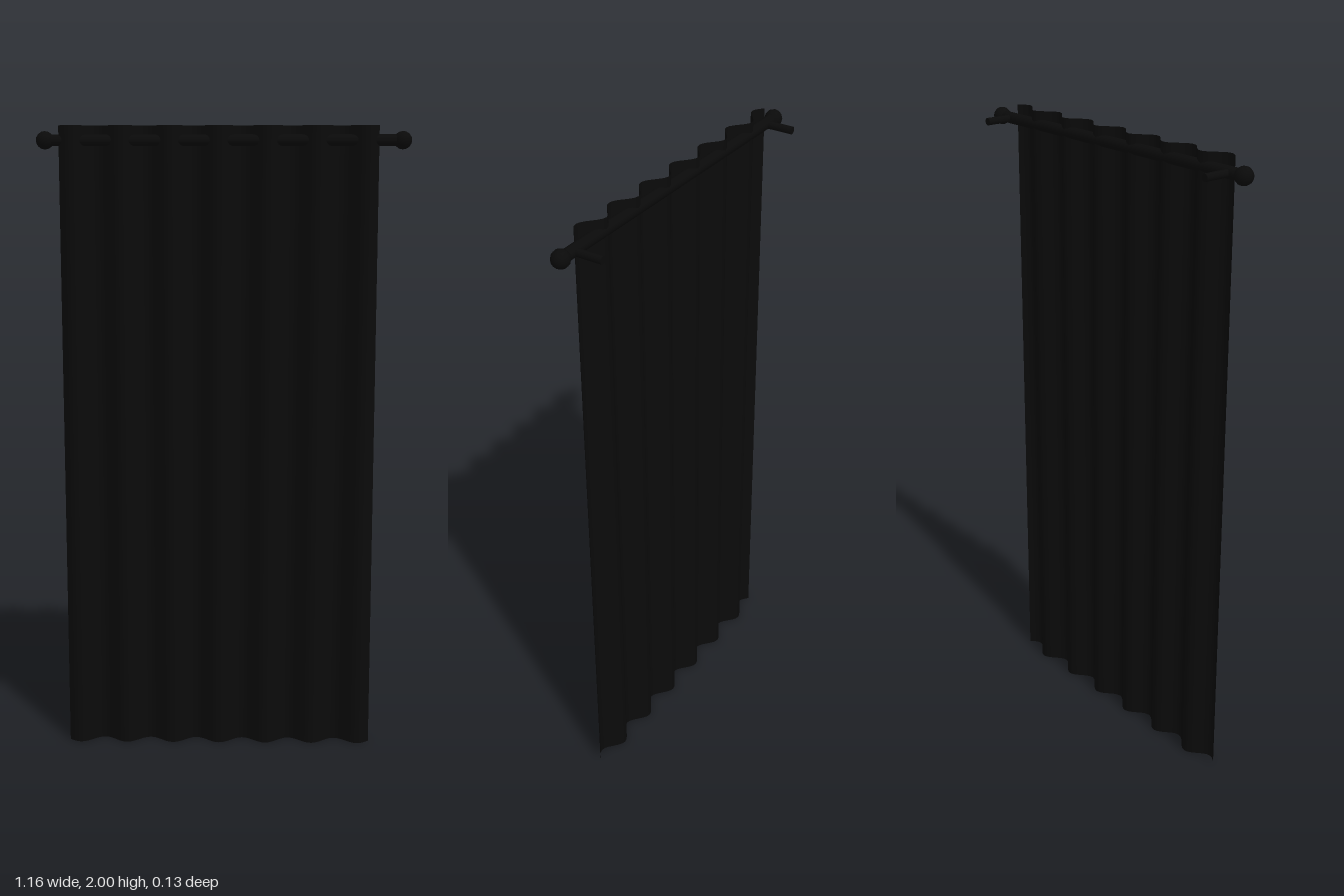
import * as THREE from 'three';

export function createModel() {
  const group = new THREE.Group();
  const black = new THREE.MeshStandardMaterial({ color: 0x0a0a0a });
  const cloth = new THREE.MeshStandardMaterial({ color: 0x0a0a0a, side: THREE.DoubleSide });
  const rodY = 1.955, rodZ = 0.032;

  const add = (name, geometry, material, x, y, z) => {
    const mesh = new THREE.Mesh(geometry, material);
    mesh.name = name;
    mesh.position.set(x, y, z);
    group.add(mesh);
    return mesh;
  };

  // Pleated curtain: a thin sheet bent into six and a half waves
  const width = 0.99, waves = 6.5;
  const sheet = new THREE.PlaneGeometry(width, 2, waves * 12, 1);
  const pos = sheet.attributes.position;
  for (let i = 0; i < pos.count; i++) {
    const t = pos.getX(i) / width + 0.5;
    pos.setZ(i, 0.0225 * Math.sin(t * waves * Math.PI * 2));
  }
  sheet.computeVertexNormals();
  add('curtain', sheet, cloth, -0.015, 1, 0.04);

  // Rod threaded through the pleats
  const rod = new THREE.CylinderGeometry(0.018, 0.018, 1.11, 16).rotateZ(Math.PI / 2);
  add('rod', rod, black, 0, rodY, rodZ);

  // Round end knob and wall bracket on each side
  for (const [side, s] of [['left', 1], ['right', -1]]) {
    const knob = new THREE.SphereGeometry(0.028, 12, 8).rotateZ(Math.PI / 2);
    add(side + 'Finial', knob, black, s * 0.553, rodY, rodZ);
    const arm = new THREE.CylinderGeometry(0.012, 0.012, 0.097, 12).rotateX(Math.PI / 2);
    add(side + 'Bracket', arm, black, s * 0.5, rodY, -0.0165);
  }
  return group;
}
